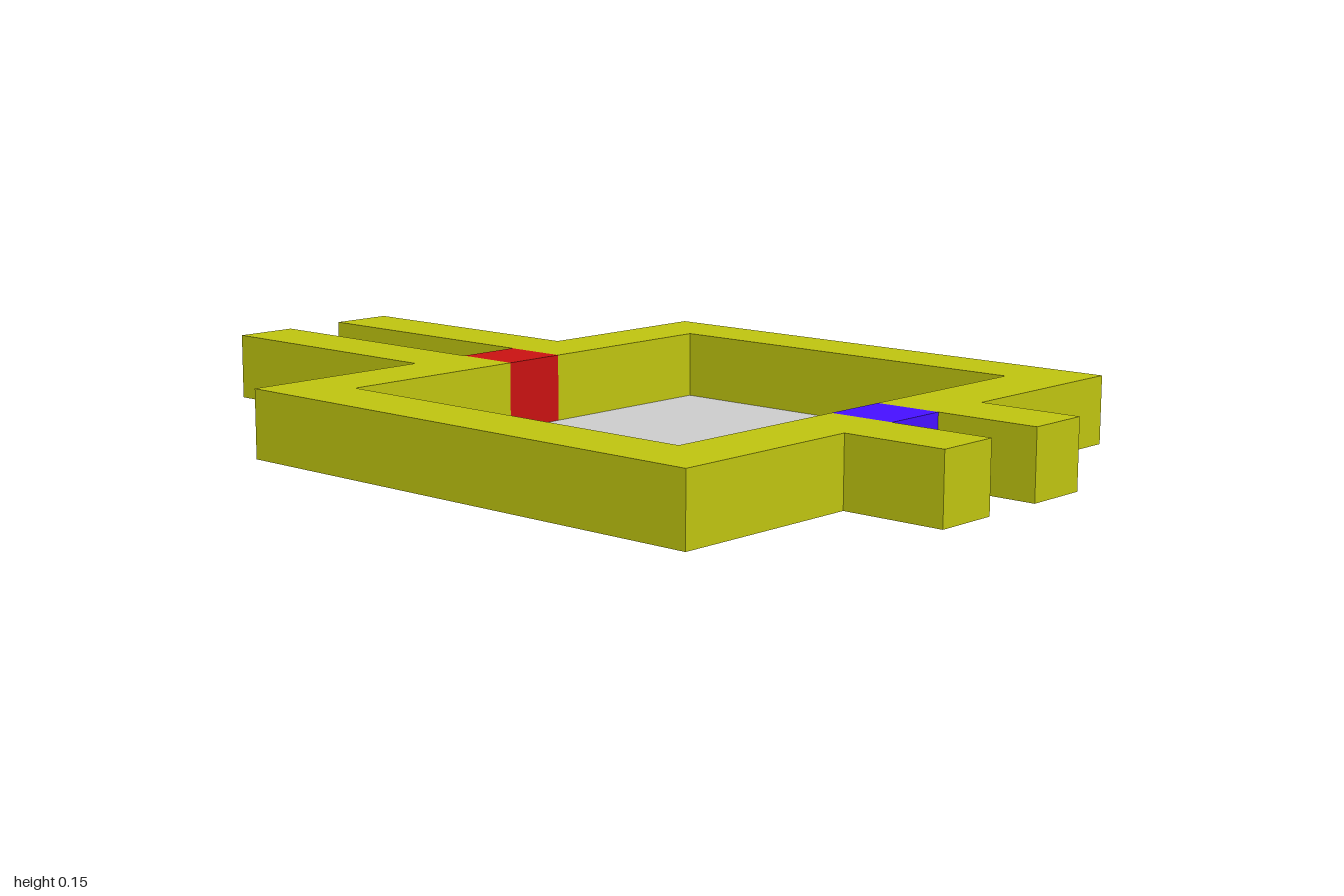
import * as THREE from 'three';

const H = 0.147;              // wall height
const GAP = 0.074;            // half width of the channels
const BACK = -0.398, FRONT = 0.775;            // outer faces of the frame
const IN_BACK = -0.253, IN_FRONT = 0.63;       // inner faces of the frame
const OUT_X = 0.66, IN_X = 0.516, PRONG_X = 0.22;

const material = (color, side = THREE.FrontSide) =>
  new THREE.MeshStandardMaterial({ color, side, flatShading: true });

// One half of the frame with its two channel prongs, as [x, z] outline
function wallHalf(sign) {
  const outline = [
    [GAP, -1], [PRONG_X, -1], [PRONG_X, BACK], [OUT_X, BACK],
    [OUT_X, FRONT], [PRONG_X, FRONT], [PRONG_X, 1], [GAP, 1],
    [GAP, IN_FRONT], [IN_X, IN_FRONT], [IN_X, IN_BACK], [GAP, IN_BACK],
  ];
  const shape = new THREE.Shape(outline.map(([x, z]) => new THREE.Vector2(sign * x, -z)));
  const geometry = new THREE.ExtrudeGeometry(shape, { depth: H, bevelEnabled: false });
  geometry.rotateX(-Math.PI / 2);
  return new THREE.Mesh(geometry, material(0xbec310));
}

// Gate block closing a channel between two z values
function gate(z0, z1, color) {
  const mesh = new THREE.Mesh(new THREE.BoxGeometry(2 * GAP, H, z1 - z0), material(color));
  mesh.position.set(0, H / 2, (z0 + z1) / 2);
  return mesh;
}

export function createModel() {
  const model = new THREE.Group();
  model.name = 'basinWithGates';
  const add = (mesh, name) => { mesh.name = name; model.add(mesh); };

  add(wallHalf(1), 'leftWall');
  add(wallHalf(-1), 'rightWall');
  add(gate(BACK, IN_BACK, 0xc81212), 'backGate');
  add(gate(IN_FRONT, FRONT, 0x4610ff), 'frontGate');

  // Thin floor sheet inside the frame
  const floor = new THREE.Mesh(
    new THREE.PlaneGeometry(2 * IN_X, IN_FRONT - IN_BACK),
    material(0xcccccc, THREE.DoubleSide));
  floor.rotation.x = -Math.PI / 2;
  floor.position.z = (IN_FRONT + IN_BACK) / 2;
  add(floor, 'floor');

  return model;
}
